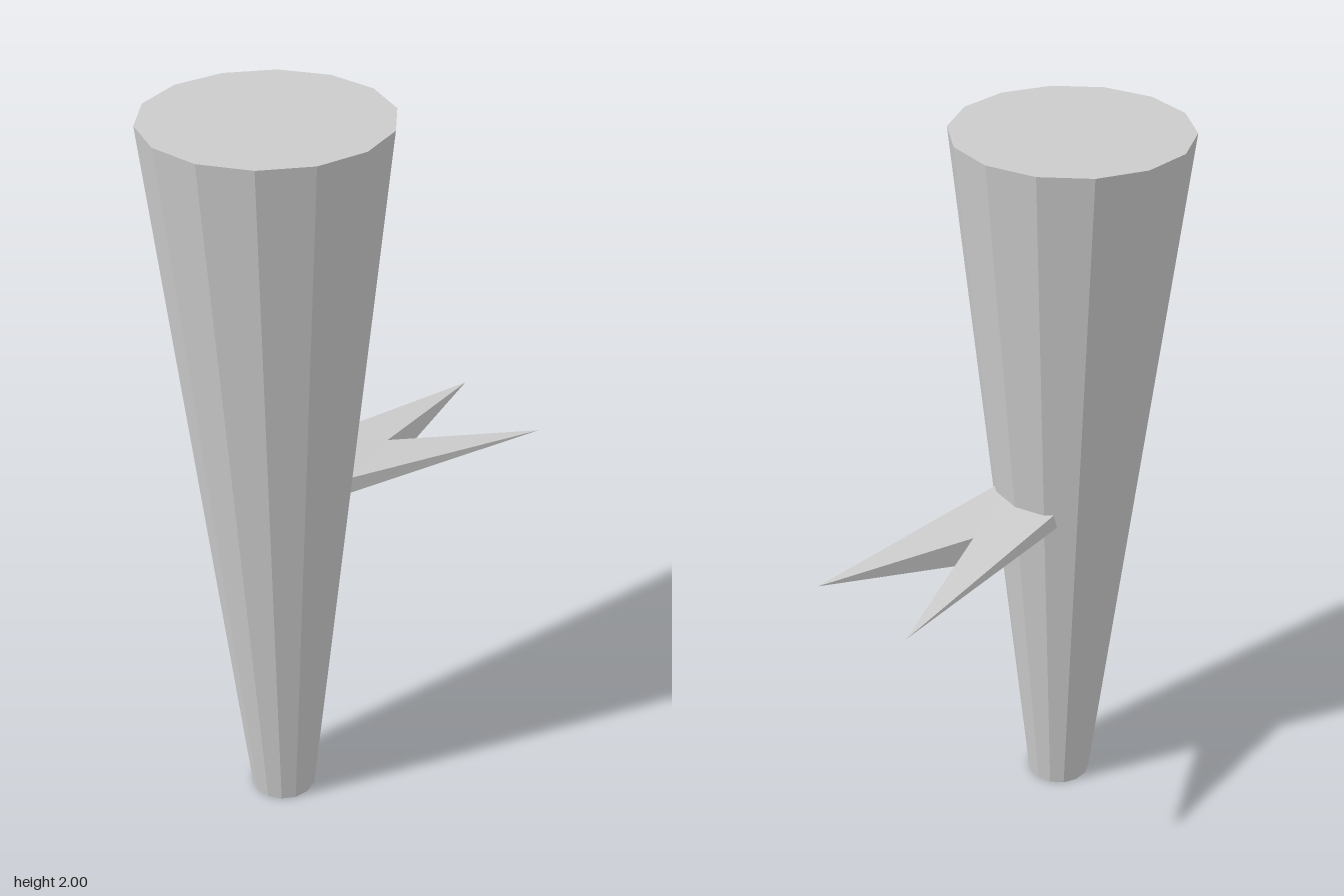
import * as THREE from 'three';

const material = new THREE.MeshStandardMaterial({ color: 0xcccccc, flatShading: true });

// One prong of the fork; side = 1 for left (+x), -1 for right
function prongTriangles(side) {
  const top = [0.102 * side, 1.023, 0.1];
  const flank = [0.108 * side, 0.98, 0.1];
  const under = [0.066 * side, 0.95, 0.1];
  const tip = [0.158 * side, 0.975, -0.525];
  const notch = [-0.007, 1.003, -0.135];
  const keel = [0, 0.925, -0.15];
  const midTop = [0, 1.023, 0.1];
  const midUnder = [0, 0.95, 0.1];
  const faces = [
    [top, tip, notch], [top, notch, midTop],          // upper side
    [tip, top, flank],                                // outer side
    [tip, flank, keel], [keel, flank, under], [keel, under, midUnder], // underside
    [notch, tip, keel],                               // inside of the fork
    [top, midTop, midUnder], [flank, top, midUnder], [under, flank, midUnder], // root
  ];
  // Mirrored faces need their corner order reversed
  return faces.flatMap(f => (side > 0 ? f : [...f].reverse()).flat());
}

export function createModel() {
  const model = new THREE.Group();

  // Tapered 14-sided shaft, wider at the top
  const shaft = new THREE.Mesh(new THREE.CylinderGeometry(0.3, 0.09, 2, 14), material);
  shaft.name = 'shaft';
  shaft.position.set(0, 1, 0.226);
  model.add(shaft);

  // Two pointed prongs at the back, rooted in the shaft
  const fork = new THREE.Group();
  fork.name = 'fork';
  for (const side of [1, -1]) {
    const geometry = new THREE.BufferGeometry();
    geometry.setAttribute('position', new THREE.Float32BufferAttribute(prongTriangles(side), 3));
    geometry.computeVertexNormals();
    const prong = new THREE.Mesh(geometry, material);
    prong.name = side > 0 ? 'leftProng' : 'rightProng';
    fork.add(prong);
  }
  model.add(fork);
  return model;
}
